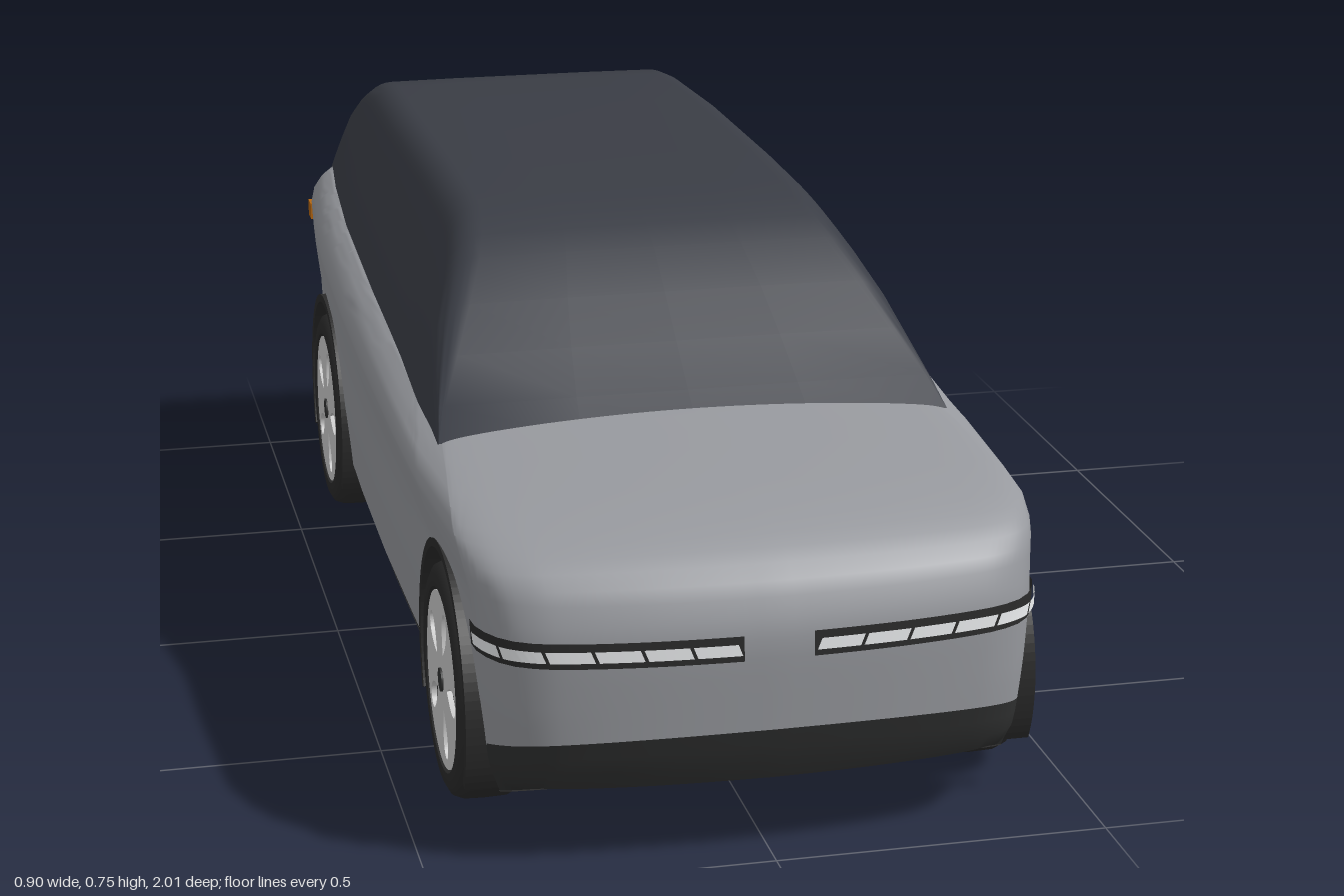
import * as THREE from 'three';
import { toCreasedNormals } from 'three/addons/utils/BufferGeometryUtils.js';

const V = (x, y, z) => new THREE.Vector3(x, y, z);
const paint = color => new THREE.MeshStandardMaterial({ color, side: THREE.DoubleSide });
const lerp = THREE.MathUtils.lerp;

const WHEEL_Z = [0.66, -0.65], WHEEL_Y = 0.18, ARCH_R = 0.205;
const FLOOR = 0.09, BELT = 0.515;

// Piecewise linear lookup in [key, value] pairs with rising keys
function table(pairs, k) {
  if (k <= pairs[0][0]) return pairs[0][1];
  for (let i = 1; i < pairs.length; i++) {
    const [a, p] = pairs[i - 1], [b, q] = pairs[i];
    if (k <= b) return lerp(p, q, (k - a) / (b - a));
  }
  return pairs[pairs.length - 1][1];
}

// Surface through rows of points
function grid(rows, crease = 0.6) {
  const n = rows[0].length, index = [];
  for (let r = 0; r < rows.length - 1; r++) {
    for (let c = 0; c < n - 1; c++) {
      const a = r * n + c, b = a + 1, d = a + n, e = d + 1;
      index.push(a, b, e, a, e, d);
    }
  }
  const g = new THREE.BufferGeometry().setFromPoints(rows.flat());
  g.setIndex(index);
  return toCreasedNormals(g, crease);
}

// Body rules: plan width along z, tuck-in by height, nose and tail by height
const planWidth = z => table([[-0.985, 0.405], [-0.8, 0.424], [-0.6, 0.435], [-0.3, 0.444],
  [0, 0.448], [0.3, 0.446], [0.6, 0.441], [0.875, 0.426]], z);
const tuck = h => table([[0.09, 0.89], [0.14, 0.93], [0.25, 0.955], [0.38, 0.97], [0.44, 0.993],
  [0.465, 1], [0.485, 0.985], [0.5, 0.95], [0.515, 0.9]], h);
const nose = h => table([[0.09, 0.88], [0.12, 0.975], [0.2, 0.998], [0.3, 1], [0.34, 1], [0.38, 0.99],
  [0.42, 0.97], [0.44, 0.95], [0.465, 0.9], [0.485, 0.82], [0.498, 0.7], [0.508, 0.56], [0.515, 0.45]], h);
const tail = h => table([[0.09, -0.87], [0.14, -0.995], [0.2, -1]], h);
const beltRise = z => 0.04 * Math.max(0, 0.47 - z) / 1.47;

function onBody(x0, z0, h, off = 0) {
  let z = z0;
  if (h > 0.32 && z > 0) z *= nose(h);
  else if (z > 0.87) z = 0.87 + (z - 0.87) * (nose(h) - 0.87) / 0.13;
  else if (z < -0.857) z = -0.857 + (z + 0.857) * (tail(h) + 0.857) / -0.143;
  const x = x0 * tuck(h), upper = THREE.MathUtils.clamp((h - 0.4) / 0.1, 0, 1);
  const crown = z > 0 ? -0.012 * (x / 0.4) ** 2 * Math.min(1, z / 0.4) : 0;
  return V(x + Math.sign(x) * off, h + upper * (beltRise(z) + crown), z + off);
}

// Wheel arch cut and sill line along the side
function lowEdge(z) {
  for (const c of WHEEL_Z) {
    const d = Math.abs(z - c);
    if (d < ARCH_R) return WHEEL_Y + Math.sqrt(ARCH_R ** 2 - d * d);
  }
  return FLOOR;
}
function sillTop(z) {
  const s = z > 0.866 ? 0.165 + 0.3 * (z - 0.866) : z < -0.856 ? 0.15 + 0.14 * (-0.856 - z) : 0.14;
  return Math.max(s, lowEdge(z));
}

// Plan outline: nose curve, side stations dense at the arches, flat tail
const noseCurve = new THREE.CatmullRomCurve3([[0, 1], [0.1, 0.997], [0.2, 0.99], [0.3, 0.976],
  [0.35, 0.963], [0.39, 0.94], [0.415, 0.905], [0.426, 0.875]].map(([x, z]) => V(x, 0, z)));
function planOutline() {
  const half = noseCurve.getPoints(28).map(p => [p.x, p.z]);
  const side = z => half.push([planWidth(z), z]);
  const arch = c => {
    side(c + ARCH_R + 0.0002);
    for (let i = 0; i <= 32; i++) side(c + (ARCH_R - 0.0001) * Math.cos(Math.PI * i / 32));
    side(c - ARCH_R - 0.0002);
  };
  arch(WHEEL_Z[0]);
  for (let i = 1; i < 12; i++) side(lerp(0.45, -0.44, i / 12));
  arch(WHEEL_Z[1]);
  [-0.9, -0.95, -0.985].forEach(side);
  half.push([0.401, -0.996], [0.393, -1], [0.2, -1], [0, -1]);
  return [half, half.concat(half.slice(0, -1).reverse().map(([x, z]) => [-x, z]))];
}

// Glasshouse: cross-sections along z with leaning sides and rounded roof edges
function cabinGeometry() {
  const roof = [[-1, 0.61], [-0.996, 0.65], [-0.985, 0.69], [-0.97, 0.712], [-0.94, 0.728], [-0.85, 0.739],
    [-0.6, 0.747], [-0.2, 0.752], [0, 0.749], [0.06, 0.744], [0.1, 0.736], [0.15, 0.72], [0.2, 0.697],
    [0.28, 0.645], [0.36, 0.588], [0.44, 0.533], [0.5, 0.495]];
  const rows = roof.map(([z, top]) => {
    const base = Math.min(BELT - 0.015 + beltRise(z), top - 0.002);
    const b = planWidth(z) * 0.9 + 0.003, r = Math.min(0.035, (top - base) * 0.3);
    const width = y => b - 0.37 * (y - base) - 0.25 * Math.max(0, y - base - 0.12);
    const edge = V(width(top), top, z), low = V(width(top - r), top - r, z);
    const curve = new THREE.QuadraticBezierCurve3(low, edge, V(edge.x - r, top, z));
    const half = [0, 0.25, 0.5, 0.75].map(t => {
      const y = lerp(base, top - r, t);
      return V(width(y), y, z);
    }).concat(curve.getPoints(6), [V(edge.x * 0.45, top + 0.001, z)]);
    return [...half, V(0, top + 0.001, z), ...half.slice().reverse().map(p => V(-p.x, p.y, p.z))];
  });
  rows.unshift(rows[0].map(p => V(0, p.y, p.z)));
  return grid(rows.map(r => r.reverse()), 0.5);
}

export function createModel() {
  const car = new THREE.Group();
  const silver = paint(0x97999e), glass = paint(0x3a3d45), dark = paint(0x303131);
  const rubber = paint(0x2b2b2b), alloy = paint(0xcccccc), lamp = paint(0xf0f2f4), amber = paint(0xb5660f);
  const add = (name, geometry, material, parent = car) => {
    const m = new THREE.Mesh(geometry, material);
    m.name = name;
    parent.add(m);
    return m;
  };
  const [half, loop] = planOutline();

  // Painted body with bonnet, then the dark skirt below it
  const bodyRows = [];
  for (let i = 0; i <= 7; i++) {
    bodyRows.push(loop.map(([x, z]) => onBody(x, z, lerp(sillTop(z), 0.4, i / 7))));
  }
  for (const h of [0.42, 0.44, 0.453, 0.465, 0.475, 0.485, 0.492, 0.498, 0.503, 0.508, 0.512, 0.515]) {
    bodyRows.push(loop.map(([x, z]) => onBody(x, z, h)));
  }
  bodyRows.push(loop.map(([x, z]) => onBody(x * 0.5, z, BELT)), loop.map(([x, z]) => onBody(0, z, BELT)));
  add('body', grid(bodyRows, 0.75), silver);
  const skirtRows = [0, 0.25, 0.5, 0.75, 1].map(t =>
    loop.map(([x, z]) => onBody(x, z, lerp(lowEdge(z), sillTop(z), t))));
  add('lowerSkirt', grid(skirtRows), dark);

  // Flat floor, narrowed between the wheels
  const floorRows = [-1, 1].map(s => half.map(([x, z]) => {
    const p = onBody(x, z, FLOOR);
    return V(s * (lowEdge(z) > FLOOR ? Math.min(p.x, 0.3) : p.x), 0.088, p.z);
  }));
  add('floor', grid(floorRows), rubber);

  add('cabin', cabinGeometry(), glass);

  // Headlight strips wrapping the front corners
  const lightPath = new THREE.CatmullRomCurve3([...noseCurve.getPoints(28).filter(p => p.x > 0.05),
    V(0.428, 0, 0.85)]);
  const strip = (side, s0, s1, h0, h1, off, skew) => grid([h0, h1].map((h, k) =>
    Array.from({ length: 17 }, (_, i) => {
      const p = lightPath.getPointAt(Math.min(1, lerp(s0, s1, i / 16) + k * skew));
      return onBody(side * p.x, p.z, h, off);
    })));
  for (const side of [1, -1]) {
    add('headlightHousing', strip(side, 0, 1, 0.315, 0.352, 0.003, 0), rubber);
    for (let i = 0; i < 6; i++) {
      add('headlightSegment', strip(side, i * 0.16, i * 0.16 + 0.148, 0.325, 0.342, 0.006, 0.015), lamp);
    }
  }

  // Tail light bar with corner brackets
  const box = (name, w, h, d, x, y, z, mat) =>
    add(name, new THREE.BoxGeometry(w, h, d), mat).position.set(x, y, z);
  box('tailLightBacking', 0.79, 0.028, 0.01, 0, 0.475, -0.997, rubber);
  for (let i = 0; i < 6; i++) box('tailLightSegment', 0.122, 0.016, 0.01, (i - 2.5) * 0.127, 0.475, -1, amber);
  for (const s of [1, -1]) {
    box('tailLightCorner', 0.014, 0.03, 0.035, s * 0.402, 0.475, -0.985, amber);
    box('tailLightBracket', 0.022, 0.05, 0.01, s * 0.375, 0.495, -1, amber);
  }

  // Wheels with arch liners
  const tyreProfile = [[0, -0.05], [0.13, -0.05], [0.16, -0.052], [0.173, -0.045], [0.179, -0.03], [0.18, 0],
    [0.179, 0.03], [0.173, 0.045], [0.16, 0.052], [0.14, 0.052], [0.134, 0.038], [0, 0.038]]
    .map(([r, y]) => new THREE.Vector2(r, y));
  const tyre = toCreasedNormals(new THREE.LatheGeometry(tyreProfile, 48).rotateX(Math.PI / 2), 0.8);

  // Alloy disc with five teardrop openings
  const disc = new THREE.Shape().absarc(0, 0, 0.135, 0, Math.PI * 2, false);
  for (let i = 0; i < 5; i++) {
    const a = i * Math.PI * 0.4, c = Math.cos(a), s = Math.sin(a);
    const at = (r, t) => [r * c - t * s, r * s + t * c];
    const hole = new THREE.Path();
    hole.moveTo(...at(0.046, 0));
    hole.bezierCurveTo(...at(0.065, 0.012), ...at(0.08, 0.02), ...at(0.1, 0.019));
    hole.bezierCurveTo(...at(0.126, 0.016), ...at(0.126, -0.016), ...at(0.1, -0.019));
    hole.bezierCurveTo(...at(0.08, -0.02), ...at(0.065, -0.012), ...at(0.046, 0));
    disc.holes.push(hole);
  }
  const rim = new THREE.ExtrudeGeometry(disc, { depth: 0.008, bevelEnabled: false, curveSegments: 24 });
  const a0 = -0.45, a1 = Math.PI + 0.45;
  const band = new THREE.Shape();
  band.absarc(0, 0, 0.213, a0, a1, false);
  band.absarc(0, 0, 0.199, a1, a0, true);
  const liner = new THREE.ExtrudeGeometry(band, { depth: 0.128, bevelEnabled: false, curveSegments: 32 });

  for (const side of [1, -1]) {
    for (const z of WHEEL_Z) {
      const wheel = new THREE.Group();
      wheel.name = 'wheel';
      wheel.position.set(side * 0.378, WHEEL_Y, z);
      wheel.rotation.y = side * Math.PI / 2;
      add('tyre', tyre, rubber, wheel);
      const plate = add('rim', rim, alloy, wheel);
      plate.position.z = 0.042;
      plate.rotation.z = side > 0 ? Math.PI : 0;
      const hub = add('hubCap', new THREE.CylinderGeometry(0.018, 0.018, 0.006, 20), dark, wheel);
      hub.rotation.x = Math.PI / 2;
      hub.position.z = 0.05;
      add('archLiner', liner, rubber, wheel).position.z = -0.078;
      add('archWall', new THREE.CircleGeometry(0.205, 32, a0, a1 - a0), rubber, wheel).position.z = -0.077;
      car.add(wheel);
    }
  }
  return car;
}
